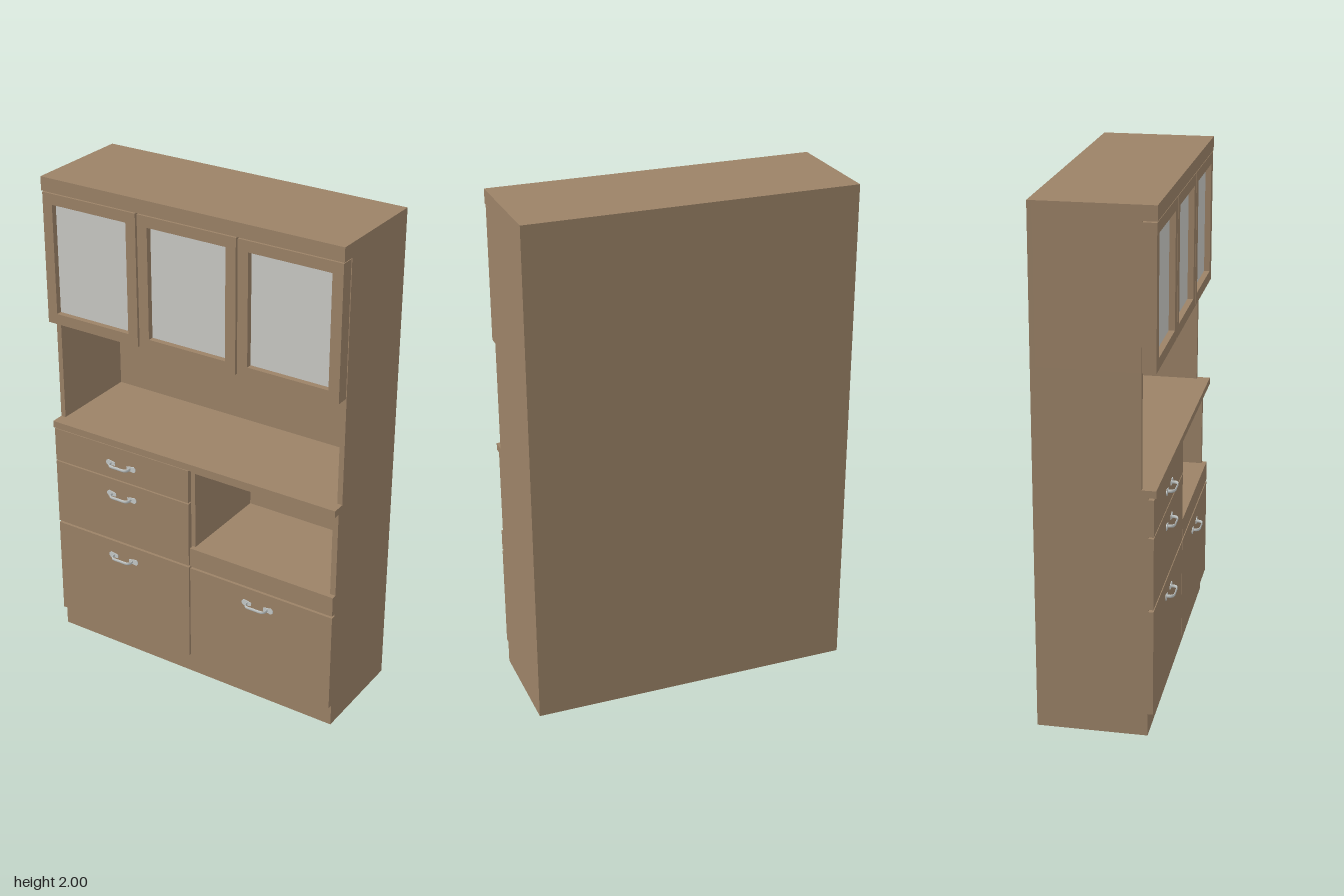
import * as THREE from 'three';

const wood = new THREE.MeshStandardMaterial({ color: 0x9b8267 });
wood.name = 'wood';
const glass = new THREE.MeshStandardMaterial({ color: 0xc9c9c4 });
glass.name = 'frosted glass';
const metal = new THREE.MeshStandardMaterial({ color: 0xc4c9c8 });
metal.name = 'handle metal';

const W = 0.643, BACK = -0.235, FRONT = 0.213;
const UPPER = 0.16, LOWER = 0.185, DRAWER = 0.205; // front planes of the carcass and drawers

export function createModel() {
  const model = new THREE.Group();
  model.name = 'kitchenCabinet';

  // box given by its limits on each axis
  function box(name, x0, x1, y0, y1, z0, z1, material = wood, parent = model) {
    const mesh = new THREE.Mesh(new THREE.BoxGeometry(x1 - x0, y1 - y0, z1 - z0), material);
    mesh.position.set((x0 + x1) / 2, (y0 + y1) / 2, (z0 + z1) / 2);
    mesh.name = name;
    parent.add(mesh);
    return mesh;
  }

  // Carcass: back, top, counter and solid storage blocks around two open niches
  box('backPanel', -W, W, 0, 2, BACK, -0.217);
  box('topBoard', -W, W, 1.945, 2, -0.217, FRONT);
  box('upperCabinet', -W, W, 1.412, 1.945, -0.217, UPPER);
  for (const s of [-1, 1]) {
    const [a, b] = [s * W, s * 0.622].sort((p, q) => p - q);
    box('upperSide', a, b, 0.98, 1.412, -0.217, UPPER);
  }
  box('counter', -W, W, 0.952, 0.98, -0.217, FRONT);
  box('lowerCabinet', -W, W, 0, 0.6, -0.217, LOWER);
  box('drawerCabinet', -W, 0.016, 0.6, 0.952, -0.217, LOWER);
  box('nicheSide', 0.62, W, 0.6, 0.952, -0.217, LOWER);
  box('nicheTop', 0.016, 0.62, 0.928, 0.952, -0.217, LOWER);

  // Glazed doors: frame with a recessed pane
  function glassDoor(x0, x1) {
    const door = new THREE.Group();
    door.name = 'glassDoor';
    const y0 = 1.412, y1 = 1.94, rim = 0.043;
    const shape = new THREE.Shape([[x0, y0], [x1, y0], [x1, y1], [x0, y1]]
      .map(p => new THREE.Vector2(...p)));
    const [a, b, c, d] = [x0 + rim, x1 - rim, y0 + rim, y1 - rim];
    shape.holes.push(new THREE.Path([[a, c], [a, d], [b, d], [b, c]]
      .map(p => new THREE.Vector2(...p))));
    const frame = new THREE.Mesh(
      new THREE.ExtrudeGeometry(shape, { depth: FRONT - UPPER - 0.002, bevelEnabled: false }), wood);
    frame.position.z = UPPER;
    frame.name = 'doorFrame';
    door.add(frame);
    box('glassPane', a, b, c, d, 0.182, 0.188, glass, door);
    model.add(door);
  }
  glassDoor(-0.64, -0.219);
  glassDoor(-0.211, 0.211);
  glassDoor(0.219, 0.64);

  // Drawer and flap fronts
  box('topDrawer', -W, -0.003, 0.802, 0.944, LOWER, DRAWER);
  box('middleDrawer', -W, -0.003, 0.517, 0.796, LOWER, DRAWER);
  box('nicheRail', 0.003, W, 0.517, 0.6, LOWER, DRAWER);
  box('leftDeepDrawer', -W, -0.003, 0.09, 0.508, LOWER, DRAWER);
  box('rightDeepDrawer', 0.003, W, 0.09, 0.508, LOWER, DRAWER);

  // Bow handles: two rounded end plates and a flattened bent bar
  const path = new THREE.CatmullRomCurve3([
    [-0.045, 0], [-0.045, 0.016], [-0.037, 0.026], [0, 0.028],
    [0.037, 0.026], [0.045, 0.016], [0.045, 0],
  ].map(([x, z]) => new THREE.Vector3(x, 0, z)));
  const barGeometry = new THREE.TubeGeometry(path, 28, 0.0025, 8).scale(1, 2.6, 1);
  const plate = new THREE.Shape();
  plate.moveTo(-0.022, -0.007);
  plate.lineTo(0.012, -0.013);
  plate.quadraticCurveTo(0.03, 0, 0.012, 0.013);
  plate.lineTo(-0.022, 0.007);
  plate.closePath();
  const plateGeometry = new THREE.ExtrudeGeometry(plate, { depth: 0.003, bevelEnabled: false });

  function handle(x, y) {
    const group = new THREE.Group();
    group.name = 'handle';
    const bar = new THREE.Mesh(barGeometry, metal);
    bar.name = 'handleBar';
    group.add(bar);
    for (const s of [-1, 1]) {
      const end = new THREE.Mesh(plateGeometry, metal);
      end.position.x = s * 0.05;
      end.rotation.z = s < 0 ? Math.PI : 0;
      end.name = 'handlePlate';
      group.add(end);
    }
    group.position.set(x, y, DRAWER);
    model.add(group);
  }
  for (const [x, y] of [[-0.32, 0.87], [-0.32, 0.73], [-0.32, 0.442], [0.315, 0.442]]) handle(x, y);

  return model;
}
